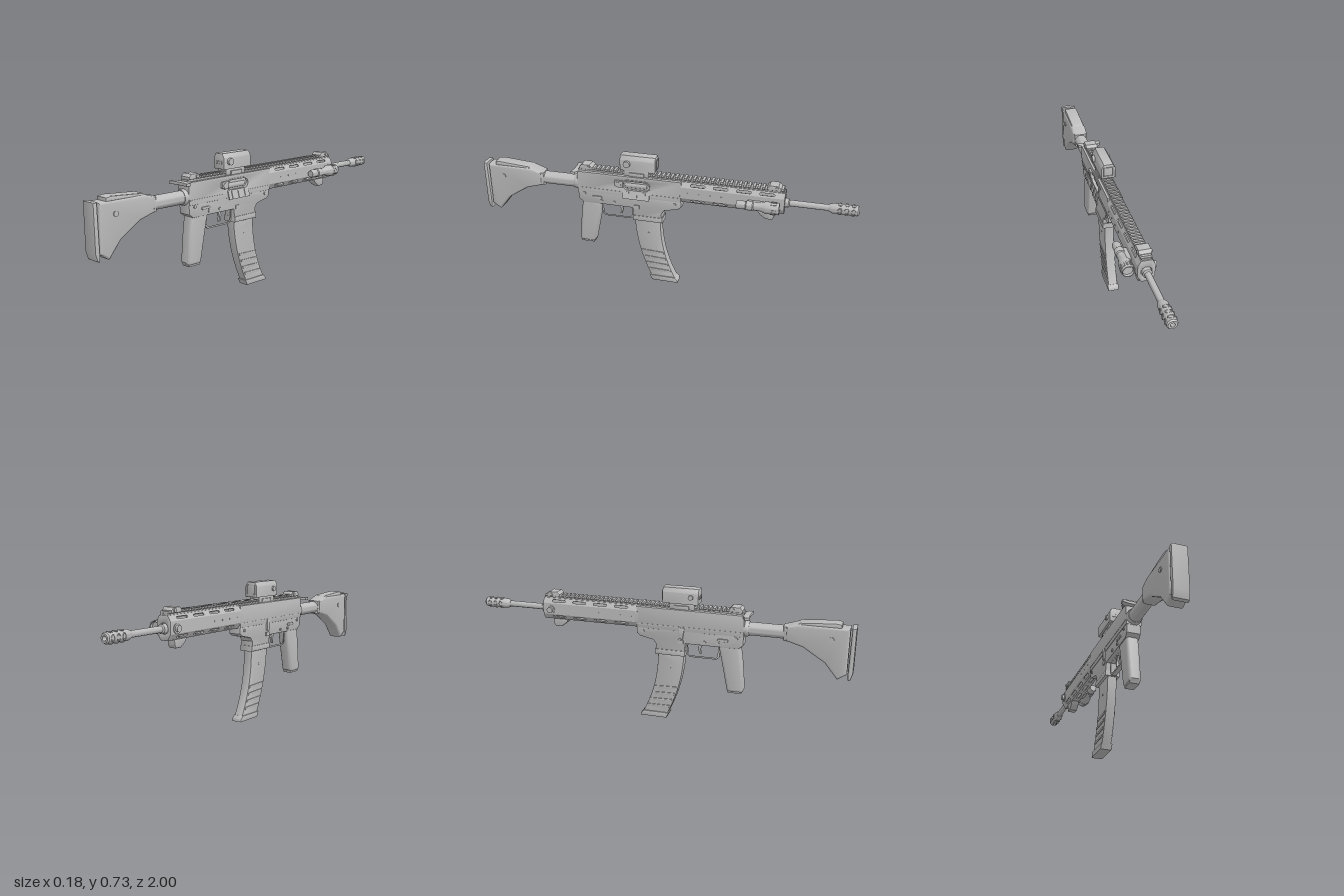
import * as THREE from 'three';
import { toCreasedNormals } from 'three/addons/utils/BufferGeometryUtils.js';

const CX = -0.021; // centre plane of the body
const BORE = 0.555; // height of the barrel axis

export function createModel() {
  const model = new THREE.Group();
  const grey = new THREE.MeshStandardMaterial({ color: 0xbcbcbc });
  grey.name = 'plain grey';

  const add = (name, geo, x = 0, y = 0, z = 0, crease = 0.6) => {
    const mesh = new THREE.Mesh(toCreasedNormals(geo, crease), grey);
    mesh.name = name;
    mesh.position.set(x, y, z);
    model.add(mesh);
    return mesh;
  };
  const poly = (pts) => new THREE.Shape(pts.map((p) => new THREE.Vector2(...p)));
  const extrude = (shape, depth, bevel, segs = 2) => {
    const g = new THREE.ExtrudeGeometry(shape, {
      depth: depth - 2 * bevel, bevelEnabled: bevel > 0, bevelThickness: bevel,
      bevelSize: bevel, bevelOffset: -bevel, bevelSegments: segs, curveSegments: 8,
    });
    return g.translate(0, 0, bevel - depth / 2);
  };
  // side profile given as [z, y], extruded across x
  const side = (name, shape, width, bevel = 0.004, x = CX, segs = 2) =>
    add(name, extrude(Array.isArray(shape) ? poly(shape) : shape, width, bevel, segs).rotateY(-Math.PI / 2), x);
  // turned part along z, given as [radius, z] with rising z
  const turned = (name, pts, x = CX, y = BORE, n = 28) =>
    add(name, new THREE.LatheGeometry(pts.map((p) => new THREE.Vector2(...p)), n).rotateX(Math.PI / 2), x, y, 0);
  const block = (name, w, h, d, x, y, z) => add(name, new THREE.BoxGeometry(w, h, d), x, y, z);
  // round part pointing along x
  const knob = (name, r, w, x, y, z, n = 20) =>
    add(name, new THREE.CylinderGeometry(r, r, w, n).rotateZ(Math.PI / 2), x, y, z);
  const slotPath = (x, y, len, h, Type = THREE.Path) => {
    const p = new Type(), r = h / 2, a = len / 2 - r;
    p.absarc(x + a, y, r, -Math.PI / 2, Math.PI / 2, false);
    p.absarc(x - a, y, r, Math.PI / 2, Math.PI * 1.5, false);
    p.closePath();
    return p;
  };

  // ---- stock
  side('buttPad', [[1, 0.6], [0.978, 0.6], [0.974, 0.36], [0.978, 0.328], [0.99, 0.335], [1, 0.37]], 0.082, 0.008);
  side('stockBody', [[0.97, 0.595], [0.72, 0.597], [0.665, 0.578], [0.665, 0.505], [0.75, 0.48],
    [0.86, 0.41], [0.925, 0.33], [0.97, 0.36]], 0.083, 0.012, CX, 3);
  side('cheekRest', [[0.93, 0.59], [0.93, 0.612], [0.9, 0.616], [0.73, 0.604], [0.71, 0.59]], 0.07, 0.007);
  side('stockNeck', [[0.72, 0.585], [0.65, 0.578], [0.65, 0.502], [0.72, 0.495]], 0.074, 0.012);
  for (const s of [-1, 1]) knob('slingSocket', 0.013, 0.008, CX + s * 0.042, 0.535, 0.885);
  turned('bufferTube', [[0, 0.45], [0.034, 0.45], [0.034, 0.68], [0, 0.68]], CX, 0.54);
  turned('castleNut', [[0, 0.45], [0.041, 0.45], [0.041, 0.472], [0.037, 0.478], [0, 0.478]], CX, 0.54, 16);

  // ---- receiver
  const upper = [[0.458, 0.615], [-0.11, 0.617], [-0.11, 0.5], [0.458, 0.5]];
  side('upperReceiver', upper, 0.07, 0.007, -0.027);
  const skin = poly(upper);
  skin.holes.push(slotPath(0.13, 0.566, 0.14, 0.05));
  side('ejectionSide', skin, 0.014, 0.005, 0.013);
  knob('boltPlate', 0.001, 0.001, 0, BORE, 0.13);
  turned('boltCarrier', [[0, 0.075], [0.016, 0.075], [0.016, 0.19], [0, 0.19]], -0.001, 0.562);
  const rim = slotPath(0.13, 0.566, 0.152, 0.062, THREE.Shape);
  rim.holes.push(slotPath(0.13, 0.566, 0.14, 0.05));
  side('ejectionRim', rim, 0.006, 0, 0.021);
  side('lowerReceiver', [[0.458, 0.53], [-0.11, 0.51], [-0.11, 0.47], [-0.09, 0.455], [-0.02, 0.44], [-0.005, 0.42],
    [-0.005, 0.37], [0.148, 0.37], [0.155, 0.435], [0.43, 0.435], [0.455, 0.455]], 0.074, 0.006);
  side('magazineCollar', [[-0.01, 0.395], [-0.01, 0.365], [0.152, 0.365], [0.152, 0.395]], 0.08, 0.005);
  const door = block('dustCover', 0.005, 0.048, 0.145, 0.027, 0.517, 0.13);
  door.rotation.z = 0.28;
  for (const z of [0.085, 0.13, 0.175]) {
    block('coverRib', 0.006, 0.036, 0.012, 0.03, 0.517, z).rotation.z = 0.28;
  }
  side('caseDeflector', [[0.2, 0.59], [0.2, 0.555], [0.225, 0.55], [0.25, 0.56], [0.245, 0.59]], 0.02, 0.004, 0.021);
  knob('forwardAssist', 0.015, 0.014, 0.026, 0.57, 0.225, 12);
  for (const s of [-1, 1]) {
    const x = CX + s * 0.038;
    for (const [z, y] of [[0.42, 0.49], [0.255, 0.455], [0.325, 0.455], [-0.075, 0.485]]) {
      knob('pin', 0.008, 0.008, x, y, z, 12);
    }
    add('safetyLever', extrude(slotPath(0, 0, 0.055, 0.014, THREE.Shape), 0.01, 0.002).rotateY(-Math.PI / 2), x, 0.475, 0.35);
    block('magazineCatch', 0.008, 0.02, 0.028, x, 0.445, 0.13);
    block('seamStrip', 0.006, 0.006, 0.55, CX + s * 0.0395, 0.524, 0.174);
  }
  side('boltRelease', [[0.15, 0.52], [0.12, 0.525], [0.12, 0.465], [0.14, 0.46]], 0.01, 0.002, -0.061);

  // charging handle, a swept bar seen from above
  const bar = [[-0.068, 0.462], [-0.03, 0.445], [0.03, 0.445], [0.057, 0.462], [0.057, 0.487],
    [0.02, 0.482], [-0.03, 0.482], [-0.068, 0.49]];
  add('chargingHandle', extrude(poly(bar), 0.016, 0.003).rotateX(Math.PI / 2), CX, 0.608);

  // ---- grip, trigger and guard
  side('grip', [[0.435, 0.45], [0.325, 0.45], [0.335, 0.4], [0.375, 0.205], [0.385, 0.196], [0.455, 0.196],
    [0.463, 0.21], [0.447, 0.38]], 0.064, 0.014, CX, 3);
  side('gripCap', [[0.378, 0.2], [0.382, 0.188], [0.452, 0.188], [0.458, 0.2]], 0.052, 0.004);
  const guard = poly([[0.335, 0.44], [0.33, 0.372], [0.315, 0.358], [0.17, 0.358], [0.152, 0.375], [0.15, 0.44]]);
  guard.holes.push(new THREE.Path([[0.325, 0.436], [0.322, 0.376], [0.312, 0.366], [0.174, 0.366], [0.16, 0.379],
    [0.158, 0.436]].map((p) => new THREE.Vector2(...p))));
  side('triggerGuard', guard, 0.026, 0.002);
  side('trigger', [[0.25, 0.44], [0.225, 0.44], [0.214, 0.41], [0.222, 0.38], [0.232, 0.378], [0.228, 0.405], [0.234, 0.42]], 0.014, 0.002);

  // ---- curved magazine
  const rear = new THREE.QuadraticBezierCurve(new THREE.Vector2(0.146, 0.39), new THREE.Vector2(0.142, 0.2), new THREE.Vector2(0.05, 0.015));
  const fore = new THREE.QuadraticBezierCurve(new THREE.Vector2(0.003, 0.39), new THREE.Vector2(0.01, 0.19), new THREE.Vector2(-0.085, 0.015));
  side('magazine', new THREE.Shape([...rear.getPoints(10), ...fore.getPoints(10).reverse()]), 0.05, 0.004);
  for (const t of [0.55, 0.65, 0.75, 0.85]) {
    const a = rear.getPoint(t), b = fore.getPoint(t);
    side('magazineRib', [[a.x - 0.008, a.y + 0.004], [a.x - 0.012, a.y - 0.009], [b.x + 0.004, b.y - 0.009], [b.x + 0.008, b.y + 0.004]], 0.057, 0.002);
  }
  side('magazineBase', [[0.064, 0.03], [0.05, 0], [-0.094, 0], [-0.092, 0.014], [-0.078, 0.03]], 0.06, 0.004);
  for (const s of [-1, 1]) knob('magazineStud', 0.005, 0.005, CX + s * 0.025, 0.29, 0.07, 10);

  // ---- handguard: eight slotted panels around the barrel
  const oct = [[0.042, 0.53], [0.042, 0.59], [0.027, 0.617], [-0.027, 0.617], [-0.042, 0.59], [-0.042, 0.53], [-0.022, 0.5], [0.022, 0.5]];
  const z0 = -0.105, z1 = -0.632, len = z0 - z1;
  oct.forEach(([ax, ay], i) => {
    const [bx, by] = oct[(i + 1) % 8], w = Math.hypot(bx - ax, by - ay);
    const panel = poly([[0, -w / 2], [len, -w / 2], [len, w / 2], [0, w / 2]]);
    if (i % 2 || i === 6) {
      for (let k = 0; k < 4; k++) panel.holes.push(slotPath(0.09 + k * 0.118, 0, 0.075, i === 1 || i === 3 ? 0.012 : 0.016));
    }
    const mesh = add('handguardPanel', new THREE.ExtrudeGeometry(panel, { depth: 0.007, bevelEnabled: false, curveSegments: 6 }).translate(0, 0, -0.007));
    const along = new THREE.Vector3(0, 0, 1), up = new THREE.Vector3(bx - ax, by - ay, 0).normalize();
    const out = new THREE.Vector3().crossVectors(along, up).negate();
    const m = new THREE.Matrix4().makeBasis(along.negate(), up.clone(), out);
    if (m.determinant() < 0) m.makeBasis(along.negate(), up, out);
    mesh.quaternion.setFromRotationMatrix(m);
    mesh.position.set(CX + (ax + bx) / 2, (ay + by) / 2, z0);
  });
  for (const z of [-0.11, -0.631]) {
    const cap = poly(oct);
    cap.holes.push(new THREE.Path().absarc(0, BORE, 0.026, 0, Math.PI * 2, true));
    add('handguardCap', extrude(cap, 0.014, 0.002), CX, 0, z);
  }
  for (const s of [-1, 1]) {
    for (let k = 0; k < 4; k++) knob('handguardScrew', 0.004, 0.004, CX + s * 0.042, 0.56, -0.14 - k * 0.06, 8);
  }

  // ---- barrel and muzzle device
  turned('barrel', [[0, -0.87], [0.016, -0.87], [0.016, -0.66], [0.023, -0.655], [0.023, -0.1], [0, -0.1]]);
  turned('muzzleDevice', [[0, -0.94], [0.011, -0.94], [0.011, -1], [0.021, -1], [0.026, -0.993], [0.026, -0.872], [0.018, -0.852], [0, -0.852]]);
  for (let k = 0; k < 3; k++) {
    for (const a of [0, 1, 2, 3]) {
      const g = new THREE.TorusGeometry(0.009, 0.0022, 6, 16).scale(1, 1.6, 1).rotateY(Math.PI / 2).translate(0.0245, 0, 0).rotateZ(a * Math.PI / 2);
      add('muzzlePort', g, CX, BORE, -0.972 + k * 0.033);
    }
  }

  // ---- toothed top rail
  block('railBase', 0.046, 0.012, 1.085, CX, 0.619, -0.09);
  const tooth = poly([[-0.024, 0], [0.024, 0], [0.029, 0.006], [0.024, 0.013], [-0.024, 0.013], [-0.029, 0.006]]);
  for (let i = 0; i < 46; i++) add('railTooth', extrude(tooth, 0.013, 0), CX, 0.623, 0.44 - i * 0.0236);

  // ---- folded sights
  for (const z of [0.41, -0.58]) {
    side('foldedSight', [[z + 0.036, 0.625], [z + 0.036, 0.638], [z + 0.022, 0.652], [z - 0.022, 0.652], [z - 0.036, 0.638], [z - 0.036, 0.625]], 0.062, 0.004);
    knob('sightHinge', 0.009, 0.072, CX, 0.638, z - 0.015, 12);
  }

  // ---- boxy optic on its mount
  side('opticMount', [[0.2, 0.65], [0.2, 0.615], [0.065, 0.615], [0.065, 0.65]], 0.058, 0.004);
  side('mountClamp', [[0.17, 0.636], [0.17, 0.615], [0.09, 0.615], [0.09, 0.636]], 0.07, 0.003);
  const housing = poly([[-0.037, 0.647], [0.037, 0.647], [0.037, 0.705], [0.024, 0.727], [-0.024, 0.727], [-0.037, 0.705]]);
  add('opticHousing', extrude(housing, 0.19, 0.004), CX - 0.002, 0, 0.125);
  for (const [x, r, w] of [[0.02, 0.018, 0.015], [-0.063, 0.013, 0.012]]) knob('opticKnob', r, w, x, 0.685, 0.18, 12);
  for (const dx of [-0.017, 0, 0.017]) {
    add('opticButton', extrude(slotPath(0, 0, 0.018, 0.012, THREE.Shape).clone(), 0.006, 0.001).rotateZ(Math.PI / 2), CX - 0.002 + dx, 0.681, 0.22);
  }
  const frame = poly([[-0.026, 0.66], [0.026, 0.66], [0.026, 0.712], [-0.026, 0.712]]);
  frame.holes.push(new THREE.Path([[-0.022, 0.664], [0.022, 0.664], [0.022, 0.708], [-0.022, 0.708]].map((p) => new THREE.Vector2(...p))));
  add('lensFrame', extrude(frame, 0.006, 0), CX - 0.002, 0, 0.029);

  // ---- side lamp with ribbed head
  const LX = 0.057, LY = 0.553;
  turned('lamp', [[0, -0.605], [0.024, -0.605], [0.026, -0.618], [0.03, -0.618], [0.031, -0.55], [0.022, -0.53], [0.02, -0.49],
    [0.024, -0.485], [0.024, -0.455], [0.02, -0.45], [0.022, -0.415], [0.018, -0.403], [0, -0.403]], LX, LY);
  for (let i = 0; i < 12; i++) {
    const a = (i / 12) * Math.PI * 2;
    block('lampRib', 0.007, 0.007, 0.028, LX + Math.cos(a) * 0.03, LY + Math.sin(a) * 0.03, -0.59).rotation.z = a;
  }
  block('lampMount', 0.035, 0.026, 0.09, 0.03, LY, -0.5);
  knob('lampScrew', 0.016, 0.018, -0.071, BORE, -0.595, 16);
  knob('lampScrewCollar', 0.024, 0.006, -0.064, BORE, -0.595, 16);

  // ---- hand stop under the handguard
  side('handStop', [[-0.5, 0.505], [-0.515, 0.48], [-0.545, 0.458], [-0.58, 0.458], [-0.59, 0.475], [-0.59, 0.505]], 0.046, 0.006);
  return model;
}
